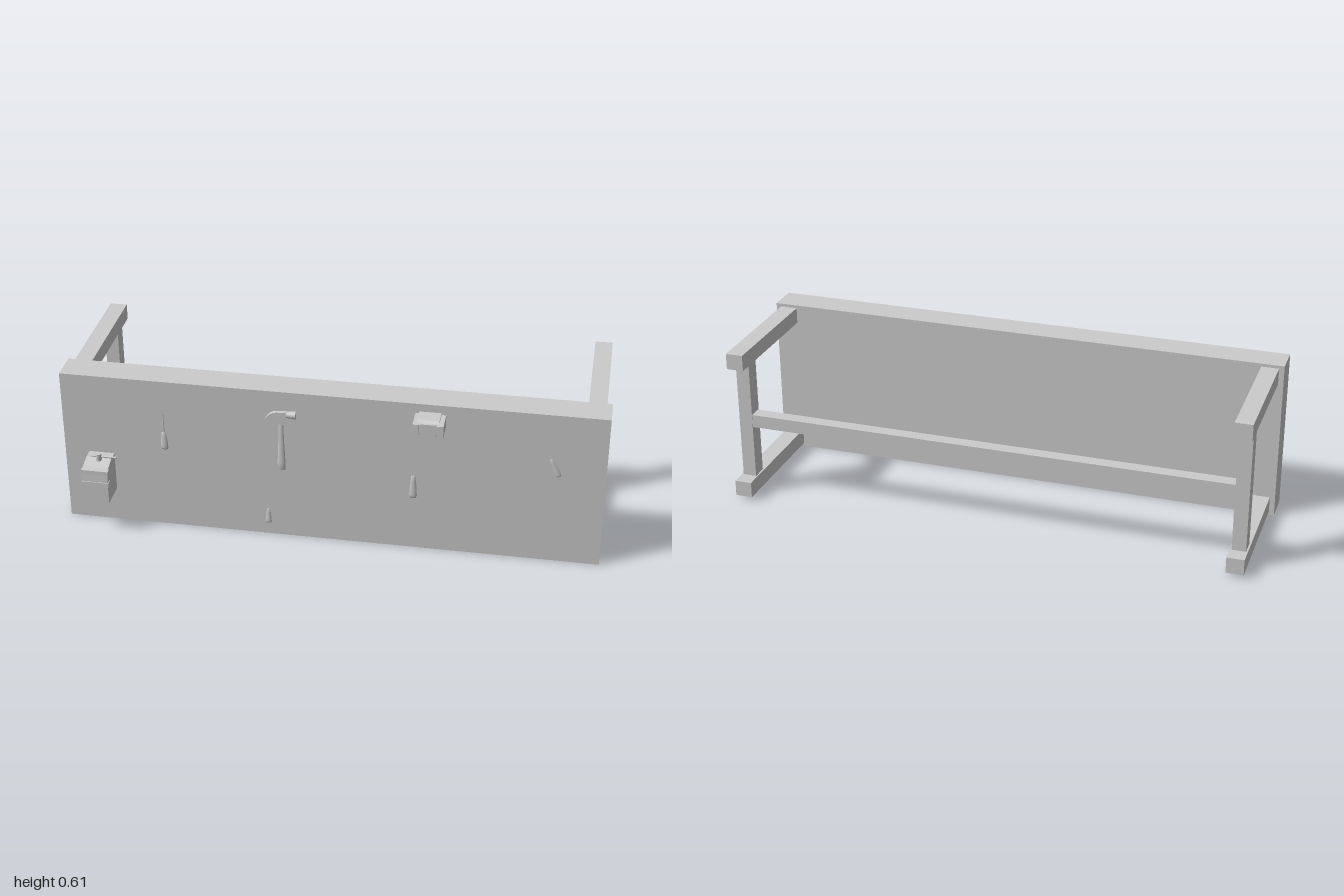
import * as THREE from 'three';

const material = new THREE.MeshStandardMaterial({ color: 0xcccccc });
const FACE = 0.249; // plane of the worktop surface

export function createModel() {
  const model = new THREE.Group();
  model.name = 'workbench';

  const add = (parent, name, geometry, x = 0, y = 0, z = 0) => {
    const mesh = new THREE.Mesh(geometry, material);
    mesh.name = name;
    mesh.position.set(x, y, z);
    parent.add(mesh);
    return mesh;
  };
  // Box given by its extents along each axis
  const box = (parent, name, [x0, x1], [y0, y1], [z0, z1]) =>
    add(parent, name, new THREE.BoxGeometry(x1 - x0, y1 - y0, z1 - z0),
      (x0 + x1) / 2, (y0 + y1) / 2, (z0 + z1) / 2);
  const group = (name) => {
    const g = new THREE.Group();
    g.name = name;
    model.add(g);
    return g;
  };
  // Side profile of [z, y] points, extruded between two x positions
  const sideExtrude = (points, x0, x1) => {
    const shape = new THREE.Shape(points.map(([z, y]) => new THREE.Vector2(-z, y)));
    const g = new THREE.ExtrudeGeometry(shape, { depth: x1 - x0, bevelEnabled: false });
    return g.rotateY(Math.PI / 2).translate(x0, 0, 0);
  };

  // Bench resting on its long edge: worktop upright, legs pointing back
  box(model, 'worktop', [-1, 1], [0, 0.611], [0.133, FACE]);
  for (const side of [-1, 1]) {
    const frame = group(side > 0 ? 'leftLegFrame' : 'rightLegFrame');
    for (const y of [0.043, 0.569])
      add(frame, 'leg', new THREE.BoxGeometry(0.065, 0.061, 0.49), side * 0.948, y, -0.112);
    add(frame, 'legBrace', new THREE.BoxGeometry(0.052, 0.466, 0.06), side * 0.948, 0.306, -0.267);
  }
  box(model, 'stretcher', [-0.925, 0.925], [0.281, 0.331], [-0.295, -0.245]);

  // Canister with sloped shoulder, bands, valve and foot
  const can = group('canister');
  add(can, 'body', sideExtrude([[0.245, 0.137], [0.355, 0.137], [0.355, 0.205], [0.352, 0.272],
    [0.335, 0.276], [0.29, 0.29], [0.245, 0.29]], -0.908, -0.812));
  for (const y of [0.215, 0.264])
    box(can, 'band', [-0.911, -0.809], [y - 0.008, y + 0.008], [0.335, 0.357]);
  add(can, 'valve', new THREE.CylinderGeometry(0.011, 0.011, 0.034, 20), -0.858, 0.295, 0.297);
  add(can, 'lever', new THREE.CylinderGeometry(0.004, 0.004, 0.095, 12), -0.838, 0.301, 0.297)
    .rotation.z = Math.PI / 2;
  add(can, 'foot', new THREE.CylinderGeometry(0.012, 0.012, 0.012, 20), -0.858, 0.134, 0.313);

  // Claw hammer half sunk in the surface
  const hammer = group('hammer');
  const handle = [[0, 0], [0.014, 0.003], [0.015, 0.03], [0.012, 0.09], [0.010, 0.14], [0.009, 0.22], [0, 0.22]];
  add(hammer, 'handle', new THREE.LatheGeometry(handle.map((p) => new THREE.Vector2(...p)), 20),
    -0.177, 0.285, FACE).scale.z = 0.45;
  const claw = new THREE.Shape();
  claw.moveTo(-0.155, 0.535);
  claw.lineTo(-0.19, 0.533);
  claw.quadraticCurveTo(-0.225, 0.53, -0.241, 0.485);
  claw.quadraticCurveTo(-0.215, 0.512, -0.19, 0.51);
  claw.lineTo(-0.187, 0.485);
  claw.lineTo(-0.164, 0.485);
  claw.lineTo(-0.155, 0.51);
  add(hammer, 'head', new THREE.ExtrudeGeometry(claw, { depth: 0.015, bevelEnabled: false }), 0, 0, FACE - 0.001);
  add(hammer, 'face', new THREE.CylinderGeometry(0.015, 0.012, 0.034, 20), -0.138, 0.521, 0.25)
    .rotation.z = -Math.PI / 2;

  // Chunky power tool body with a stepped nose
  const tool = group('powerTool');
  add(tool, 'housing', sideExtrude([[0.245, 0.525], [0.312, 0.525], [0.322, 0.533], [0.322, 0.568],
    [0.306, 0.581], [0.245, 0.581]], 0.325, 0.405));
  box(tool, 'frontCap', [0.338, 0.395], [0.526, 0.574], [0.318, 0.327]);
  for (const x of [[0.312, 0.334], [0.399, 0.422]])
    box(tool, 'endCap', x, [0.527, 0.574], [0.245, 0.333]);

  // Hand tool grips lying half buried in the surface
  const grip = [[0, 0], [0.8, 0.02], [1, 0.12], [0.95, 0.35], [0.7, 0.75], [0.6, 0.95], [0, 1]];
  const addGrip = (name, x, y, length, radius, tilt = 0) => {
    const points = grip.map(([r, h]) => new THREE.Vector2(r * radius, h * length));
    const mesh = add(model, name, new THREE.LatheGeometry(points, 16), x, y, FACE);
    mesh.rotation.z = tilt;
    mesh.scale.z = 0.45;
  };
  addGrip('screwdriverGrip', -0.617, 0.328, 0.075, 0.014);
  add(model, 'screwdriverBlade', new THREE.CylinderGeometry(0.0015, 0.003, 0.1, 12), -0.617, 0.445, FACE);
  addGrip('shortGrip', -0.23, 0.047, 0.063, 0.011);
  addGrip('chiselGrip', 0.31, 0.216, 0.095, 0.014);
  addGrip('tiltedGrip', 0.833, 0.36, 0.08, 0.011, 0.42);

  return model;
}
